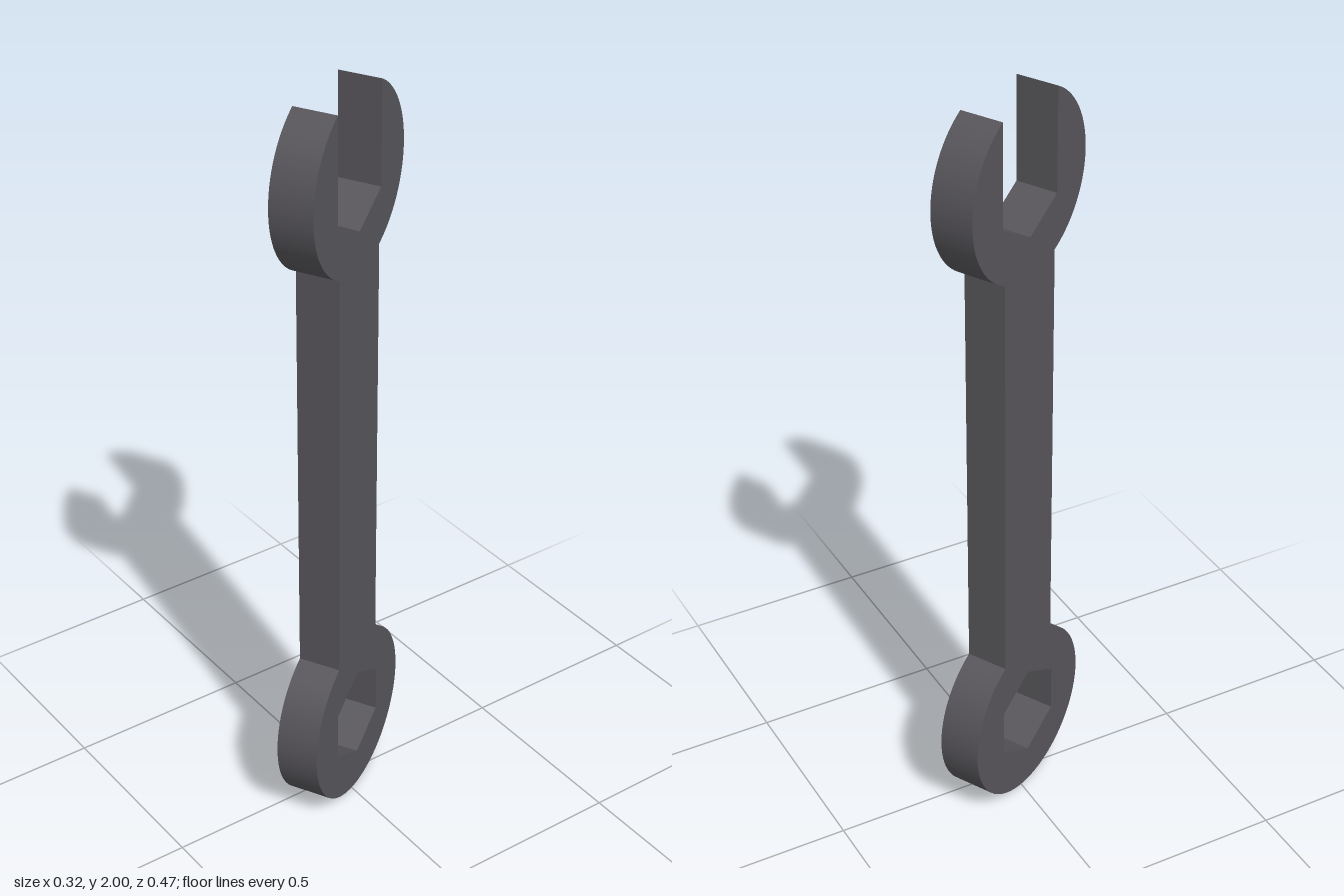
import * as THREE from 'three';
import { toCreasedNormals } from 'three/addons/utils/BufferGeometryUtils.js';

const HEAD_R = 0.237;      // radius of both heads
const HANDLE_W = 0.106;    // half width of the handle
const JAW = 0.114;         // half width across the flats
const THICK = 0.114;
const RING_Y = HEAD_R;
const JAW_Y = 2 - Math.sqrt(HEAD_R ** 2 - JAW ** 2); // jaw tips end at y = 2

export function createModel() {
  const steel = new THREE.MeshStandardMaterial({ color: 0x57555a });
  steel.name = 'dark steel';

  const join = Math.acos(HANDLE_W / HEAD_R);
  const tip = Math.acos(JAW / HEAD_R);
  const hexR = JAW / Math.cos(Math.PI / 6);

  // Outline: ring head, handle side, open jaw, other side
  const outline = new THREE.Shape();
  outline.absarc(0, RING_Y, HEAD_R, Math.PI - join, 2 * Math.PI + join, false);
  outline.absarc(0, JAW_Y, HEAD_R, -join, tip, false);
  outline.lineTo(JAW, JAW_Y - hexR / 2);
  outline.lineTo(0, JAW_Y - hexR);
  outline.lineTo(-JAW, JAW_Y - hexR / 2);
  outline.absarc(0, JAW_Y, HEAD_R, Math.PI - tip, Math.PI + join, false);
  outline.closePath();

  // Hexagonal hole in the ring head
  const corners = [];
  for (let i = 0; i < 6; i++) {
    const a = Math.PI / 2 - (i * Math.PI) / 3;
    corners.push(new THREE.Vector2(hexR * Math.cos(a), RING_Y + hexR * Math.sin(a)));
  }
  outline.holes.push(new THREE.Path(corners));

  const solid = new THREE.ExtrudeGeometry(outline, { depth: THICK, bevelEnabled: false, curveSegments: 32 });
  solid.translate(0, 0, -THICK / 2);

  const wrench = new THREE.Mesh(toCreasedNormals(solid, 0.5), steel);
  wrench.name = 'wrenchBody';
  wrench.rotation.y = -1.085; // turned about the upright axis

  const group = new THREE.Group();
  group.name = 'wrench';
  group.add(wrench);
  return group;
}
